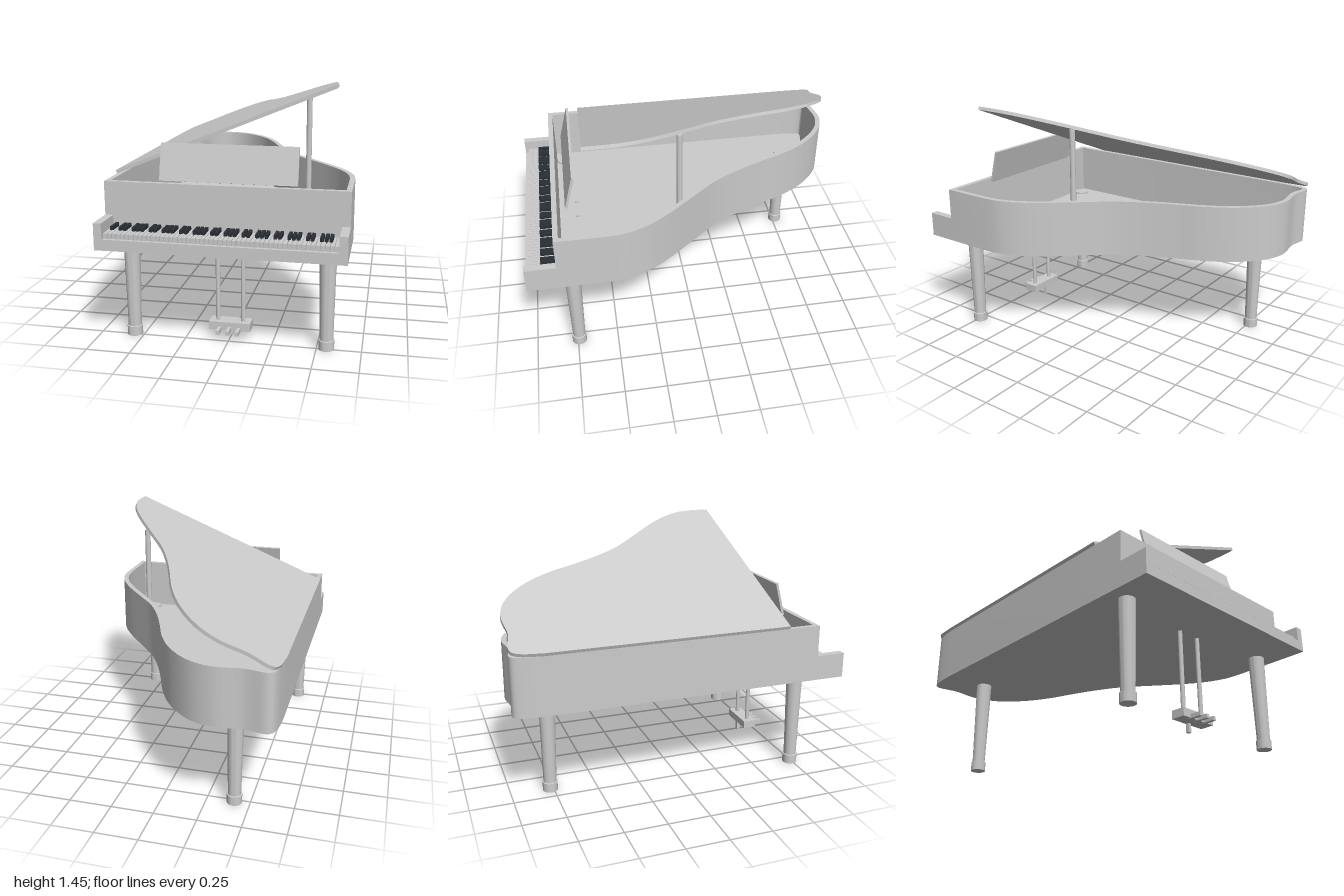
import * as THREE from 'three';
import { toCreasedNormals } from 'three/addons/utils/BufferGeometryUtils.js';

const grey = new THREE.MeshStandardMaterial({ color: 0xcccccc });
const dark = new THREE.MeshStandardMaterial({ color: 0x2b3036 });

// Plan outline as (x, -z): straight left side, curved right side, wavy tail.
function outline(frontZ) {
  const curve = new THREE.SplineCurve([
    [0.675, 0.52], [0.662, 0.41], [0.615, 0.29], [0.53, 0.16], [0.4, 0], [0.275, -0.155],
    [0.185, -0.315], [0.115, -0.475], [0.045, -0.65], [-0.05, -0.81], [-0.185, -0.94],
    [-0.33, -0.992], [-0.49, -0.978], [-0.615, -0.998], [-0.66, -0.95], [-0.675, -0.82],
  ].map(([x, z]) => new THREE.Vector2(x, -z)));
  return [
    new THREE.Vector2(-0.675, -frontZ), new THREE.Vector2(0.675, -frontZ),
    ...curve.getPoints(90),
  ];
}

// Moves every edge of a counter-clockwise polygon inward by d.
function inset(points, d) {
  const n = points.length;
  return points.map((p, i) => {
    const a = p.clone().sub(points[(i + n - 1) % n]).normalize();
    const b = points[(i + 1) % n].clone().sub(p).normalize();
    const na = new THREE.Vector2(-a.y, a.x), nb = new THREE.Vector2(-b.y, b.x);
    return p.clone().addScaledVector(na.clone().add(nb), d / (1 + na.dot(nb)));
  });
}

// Slab with its plan in x and z, rising from y = 0.
function slab(points, height, hole) {
  const shape = new THREE.Shape(points);
  if (hole) shape.holes.push(new THREE.Path(hole));
  const geo = new THREE.ExtrudeGeometry(shape, { depth: height, bevelEnabled: false });
  geo.rotateX(-Math.PI / 2);
  return toCreasedNormals(geo, 0.6);
}

export function createModel() {
  const root = new THREE.Group();

  const add = (name, geo, x = 0, y = 0, z = 0, material = grey, parent = root) => {
    const mesh = new THREE.Mesh(geo, material);
    mesh.name = name;
    mesh.position.set(x, y, z);
    parent.add(mesh);
    return mesh;
  };
  // Box given by its two limits on each axis.
  const box = (name, x0, x1, y0, y1, z0, z1, material, parent) =>
    add(name, new THREE.BoxGeometry(x1 - x0, y1 - y0, z1 - z0),
      (x0 + x1) / 2, (y0 + y1) / 2, (z0 + z1) / 2, material, parent);

  // Case: floor and hollow rim
  const rim = outline(0.82);
  add('caseFloor', slab(outline(1), 0.02), 0, 0.58, 0);
  add('caseRim', slab(rim, 0.32, inset(rim, 0.03)), 0, 0.6, 0);

  // Lid, hinged along the left edge and propped open
  const hinge = new THREE.Group();
  hinge.name = 'lidHinge';
  hinge.position.set(-0.675, 0.92, 0);
  hinge.rotation.z = 0.387;
  root.add(hinge);
  add('lid', slab(outline(0.62), 0.02), 0.675, 0, 0, grey, hinge);
  add('lidProp', new THREE.CylinderGeometry(0.017, 0.017, 0.74, 20), 0.365, 0.97, 0.075);

  // Music desk, leaning back
  const desk = box('musicDesk', -0.385, 0.385, 0.912, 1.123, 0.702, 0.717);
  desk.rotation.x = -0.25;

  // Keyboard surround
  for (const s of [-1, 1]) {
    add(s > 0 ? 'leftArm' : 'rightArm', new THREE.BoxGeometry(0.045, 0.13, 0.18), s * 0.6525, 0.665, 0.91);
  }
  box('keyBed', -0.63, 0.63, 0.6, 0.64, 0.82, 0.98);
  box('keySlip', -0.63, 0.63, 0.6, 0.642, 0.98, 1);

  // 52 white keys, with black keys in groups of two and three
  const keys = new THREE.Group();
  keys.name = 'keys';
  root.add(keys);
  const pitch = 1.26 / 52;
  for (let i = 0; i < 52; i++) {
    const x = -0.63 + i * pitch;
    box('whiteKey', x + 0.0015, x + pitch - 0.0015, 0.64, 0.67, 0.82, 0.977, grey, keys);
    if (i < 51 && [0, 2, 3, 5, 6].includes(i % 7)) {
      box('blackKey', x + pitch - 0.009, x + pitch + 0.009, 0.655, 0.69, 0.82, 0.91, dark, keys);
    }
  }

  // Three tapered legs, each with a wider foot
  const legProfile = [[0, 0], [0.044, 0], [0.044, 0.055], [0.038, 0.057], [0.048, 0.61], [0, 0.61]]
    .map(([r, y]) => new THREE.Vector2(r, y));
  const legGeo = toCreasedNormals(new THREE.LatheGeometry(legProfile, 32).toNonIndexed(), 0.5);
  add('frontLeftLeg', legGeo, 0.555, 0, 0.74);
  add('frontRightLeg', legGeo, -0.555, 0, 0.74);
  add('rearLeg', legGeo, -0.41, 0, -0.77);

  // Pedal lyre: two rods, box, three pedals and a rear support
  const lyre = new THREE.Group();
  lyre.name = 'pedalLyre';
  root.add(lyre);
  for (const s of [-1, 1]) {
    add('lyreRod', new THREE.CylinderGeometry(0.013, 0.013, 0.51, 16), s * 0.073, 0.355, 0.678, grey, lyre);
  }
  box('pedalBox', -0.12, 0.12, 0.052, 0.1, 0.635, 0.72, grey, lyre);
  for (const x of [-0.055, 0, 0.055]) {
    box('pedal', x - 0.01, x + 0.01, 0.05, 0.073, 0.7, 0.785, grey, lyre);
  }
  box('pedalSupport', -0.01, 0.01, 0, 0.06, 0.636, 0.656, grey, lyre);

  return root;
}
